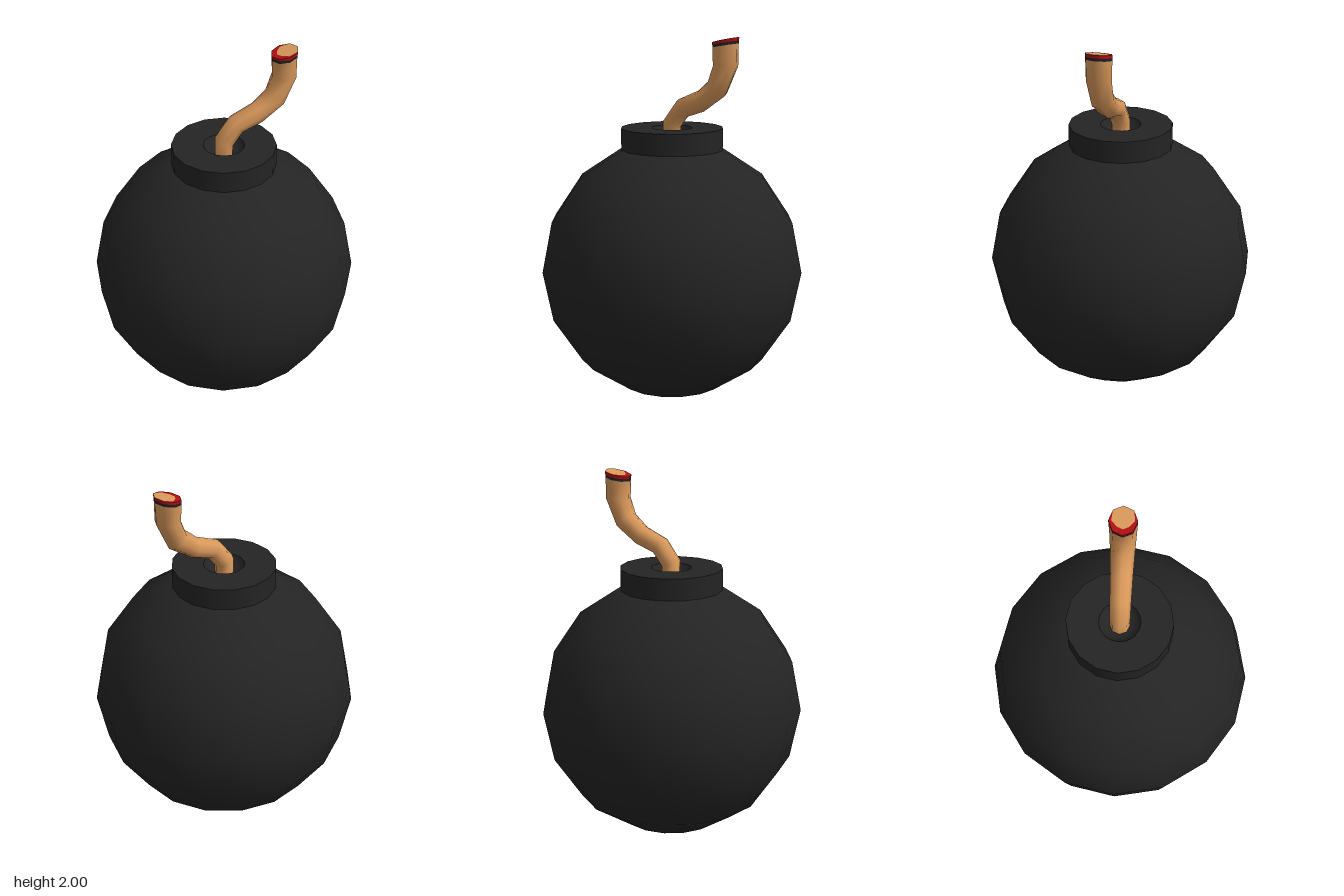
import * as THREE from 'three';

const SIDES = 8;

// One fuse ring: a is its -x edge, b its +x edge, hz its half width in z
function ring([ax, ay, bx, by, hz], inset = () => 0) {
  const c = new THREE.Vector3((ax + bx) / 2, (ay + by) / 2, 0);
  return Array.from({ length: SIDES }, (_, k) => {
    const t = (k / SIDES) * Math.PI * 2;
    const cos = Math.cos(t), s = 1 - inset(cos);
    return new THREE.Vector3(
      c.x + ((bx - ax) / 2) * cos * s,
      c.y + ((by - ay) / 2) * cos * s,
      hz * Math.sin(t) * s
    );
  });
}

// Skin a list of rings with smooth normals
function loft(rings) {
  const index = [];
  for (let i = 0; i < rings.length - 1; i++) {
    for (let k = 0; k < SIDES; k++) {
      const a = i * SIDES + k, b = i * SIDES + ((k + 1) % SIDES);
      index.push(a, a + SIDES, b, b, a + SIDES, b + SIDES);
    }
  }
  const g = new THREE.BufferGeometry().setFromPoints(rings.flat());
  g.setIndex(index);
  g.computeVertexNormals();
  return g;
}

// Fill one ring, facing up
function disc(points) {
  const index = [];
  for (let k = 1; k < SIDES - 1; k++) index.push(0, k + 1, k);
  const g = new THREE.BufferGeometry().setFromPoints(points);
  g.setIndex(index);
  g.computeVertexNormals();
  return g;
}

export function createModel() {
  const group = new THREE.Group();
  const material = (name, color) => {
    const m = new THREE.MeshStandardMaterial({ color });
    m.name = name;
    return m;
  };
  const black = material('black iron', 0x242424);
  const tan = material('tan rope', 0xd9985b);
  const red = material('ember red', 0xb00f12);
  const char = material('charred rope', 0x1d2228);
  const add = (name, geometry, mat, y = 0) => {
    const mesh = new THREE.Mesh(geometry, mat);
    mesh.name = name;
    mesh.position.y = y;
    group.add(mesh);
  };

  // Round body
  add('body', new THREE.SphereGeometry(0.72, 16, 8), black, 0.72);

  // Collar: wall, flat rim and shallow bowl around the fuse
  add('collarWall', new THREE.CylinderGeometry(0.28, 0.28, 0.12, 16, 1, true), black, 1.44);
  add('collarRim', new THREE.RingGeometry(0.11, 0.28, 16).rotateX(-Math.PI / 2), black, 1.5);
  const bowl = [[0.11, 1.5], [0.095, 1.472], [0.06, 1.453], [0, 1.446]];
  add('collarBowl', new THREE.LatheGeometry(bowl.map(([x, y]) => new THREE.Vector2(x, y)), 16), black);

  // Bent fuse, widening towards its tip
  const fuseEnd = [0.266, 1.942, 0.406, 1.966, 0.072];
  const charEnd = [0.266, 1.956, 0.407, 1.981, 0.073];
  const tip = [0.264, 1.968, 0.41, 2.0, 0.073];
  const path = [
    [-0.05, 1.43, 0.05, 1.43, 0.052],
    [-0.05, 1.54, 0.05, 1.5, 0.053],
    [0.04, 1.655, 0.1, 1.565, 0.055],
    [0.17, 1.71, 0.205, 1.6, 0.058],
    [0.24, 1.77, 0.335, 1.69, 0.063],
    [0.27, 1.85, 0.405, 1.845, 0.069],
    fuseEnd,
  ];
  add('fuse', loft(path.map((p) => ring(p))), tan);

  // Charred band and glowing edge
  add('charredBand', loft([ring(fuseEnd), ring(charEnd)]), char);
  add('emberBand', loft([ring(charEnd), ring(tip)]), red);

  // Cut end: tan core with an ember crescent on one side
  const core = ring(tip, (cos) => (cos < -0.5 ? 0.42 : cos < 0.1 ? 0.2 : 0));
  add('emberCrescent', loft([ring(tip), core]), red);
  add('fuseCore', disc(core), tan);

  return group;
}
